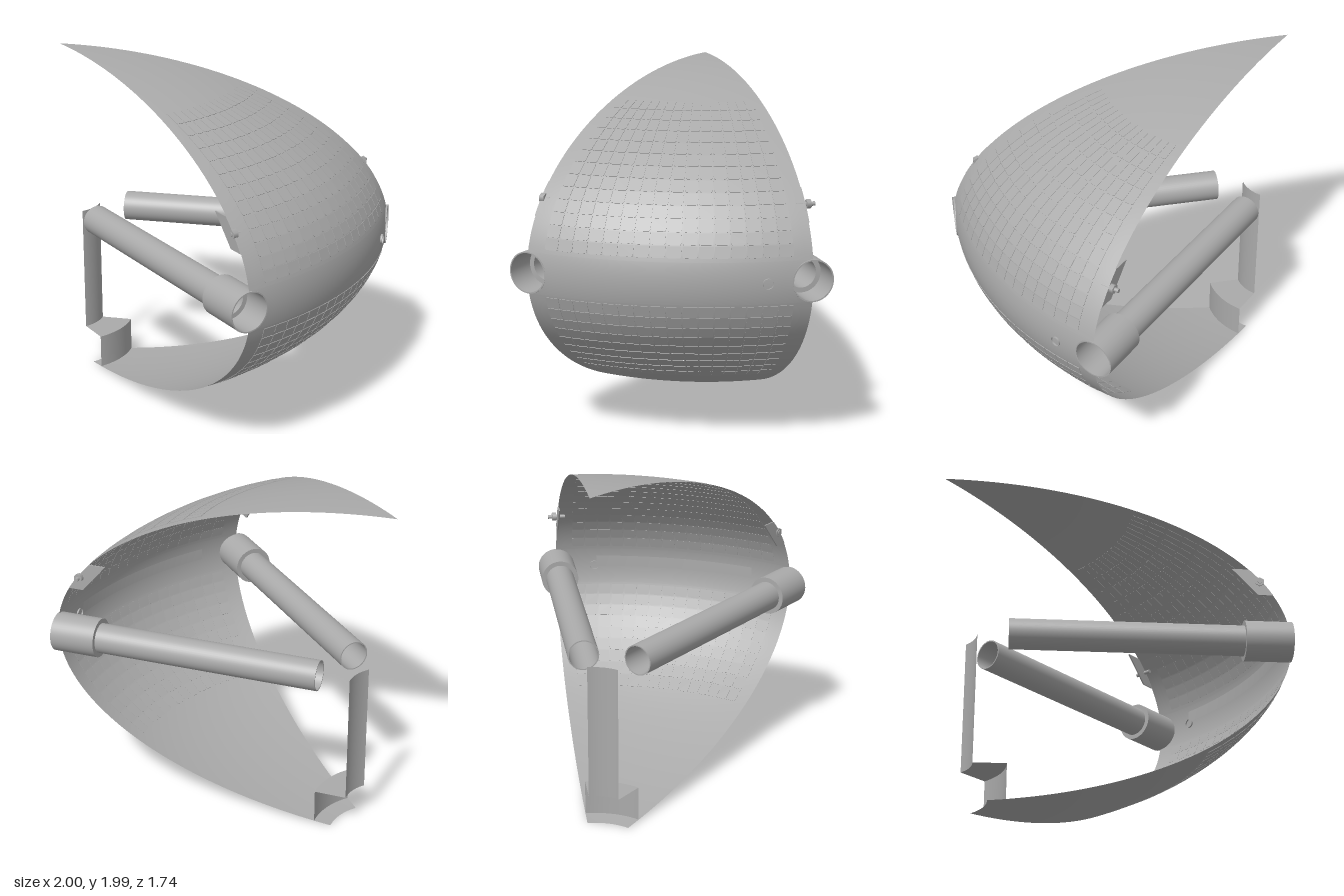
import * as THREE from 'three';
import { mergeGeometries, toCreasedNormals } from 'three/addons/utils/BufferGeometryUtils.js';

const RAD = Math.PI / 180;
const HALF = 22.5 * RAD;      // half angle of the wedge
const A = 2, B = 1, CY = 0.99; // ellipse radii and centre height
const SLEEVE = 0.115;

const grey = new THREE.MeshStandardMaterial({ color: 0xaaaaaa, side: THREE.DoubleSide });
grey.name = 'grey';

function addMesh(parent, name, geometry) {
  const mesh = new THREE.Mesh(geometry, grey);
  mesh.name = name;
  parent.add(mesh);
  return mesh;
}

// Point at latitude t and azimuth phi on the ellipsoid
function onShell(t, phi, scale = 1) {
  const r = A * Math.cos(t) * scale;
  return new THREE.Vector3(r * Math.cos(phi), CY + B * Math.sin(t) * scale, r * Math.sin(phi));
}

// Surface through rows of points
function loft(rows) {
  const n = rows[0].length, pos = [], idx = [];
  rows.forEach((row, i) => row.forEach((p, j) => {
    pos.push(p.x, p.y, p.z);
    if (i && j) {
      const d = i * n + j, c = d - 1, b = d - n, a = b - 1;
      idx.push(a, c, b, b, c, d);
    }
  }));
  const g = new THREE.BufferGeometry();
  g.setAttribute('position', new THREE.Float32BufferAttribute(pos, 3));
  g.setIndex(idx);
  g.computeVertexNormals();
  return g;
}

// Wedge of the ellipsoid, notched round where the tubes pass through
function shellGeometry() {
  const t0 = -Math.acos(0.155), tn = Math.asin(SLEEVE / B), ts = [];
  for (let i = 0; i < 44; i++) ts.push(t0 + (-tn - t0) * i / 44);
  for (let i = 0; i < 24; i++) ts.push(tn * Math.sin((i / 24 - 0.5) * Math.PI));
  for (let i = 0; i <= 48; i++) ts.push(tn + (Math.PI / 2 - tn) * i / 48);
  return loft(ts.map((t) => {
    const dy = B * Math.sin(t);
    const cut = Math.sqrt(Math.max(0, SLEEVE * SLEEVE - dy * dy));
    const edge = HALF - (cut ? Math.asin(cut / (A * Math.cos(t))) : 0);
    return Array.from({ length: 33 }, (_, j) => onShell(t, edge * (1 - j / 16)));
  }));
}

// Sheet swept round the vertical axis from a [radius, height] profile
function sweep(profile, half) {
  const rows = profile.map(([r, y]) => Array.from({ length: 17 }, (_, j) => {
    const phi = half * (1 - j / 8);
    return new THREE.Vector3(r * Math.cos(phi), y, r * Math.sin(phi));
  }));
  return toCreasedNormals(loft(rows), 0.6);
}

// Thin rounded tiles laid tangent to the shell
function tileGeometry() {
  const parts = [], cols = 16, span = 19.6 * RAD;
  const addRows = (from, to, count) => {
    for (let i = 0; i < count; i++) {
      const t = (from + (to - from) * i / (count - 1)) * RAD;
      const w = A * Math.cos(t) * (2 * span / cols) * 0.46;
      const h = 0.46 * (Math.abs(to - from) / (count - 1)) * RAD * Math.hypot(A * Math.sin(t), B * Math.cos(t));
      const c = Math.min(w, h) * 0.4;
      const s = new THREE.Shape();
      s.moveTo(-w, h);
      s.lineTo(-w, -h + c);
      s.quadraticCurveTo(-w, -h, -w + c, -h);
      s.lineTo(w - c, -h);
      s.quadraticCurveTo(w, -h, w, -h + c);
      s.lineTo(w, h);
      const tile = new THREE.ExtrudeGeometry(s, { depth: 0.004, bevelEnabled: false, curveSegments: 3 });
      for (let j = 0; j < cols; j++) {
        const phi = -span + (j + 0.5) * 2 * span / cols;
        const out = new THREE.Vector3(Math.cos(t) / A * Math.cos(phi), Math.sin(t) / B, Math.cos(t) / A * Math.sin(phi)).normalize();
        const side = new THREE.Vector3(Math.sin(phi), 0, -Math.cos(phi));
        const up = out.clone().cross(side);
        const m = new THREE.Matrix4().makeBasis(side, up, out);
        m.setPosition(onShell(t, phi).addScaledVector(out, -0.002));
        parts.push(tile.clone().applyMatrix4(m));
      }
    }
  };
  addRows(9.5, 54.5, 13);
  addRows(-9, -39, 9);
  return mergeGeometries(parts);
}

// Hollow tube stepping up to a wider sleeve, along local x
function tubeGeometry() {
  const profile = [
    [0.081, 0.4], [0.0875, 0.4], [0.0875, 1.727], [SLEEVE, 1.727],
    [SLEEVE, 1.997], [0.108, 1.997], [0.108, 1.82], [0.081, 1.82], [0.081, 0.4],
  ].map(([r, y]) => new THREE.Vector2(r, y));
  const g = toCreasedNormals(new THREE.LatheGeometry(profile, 48), 0.6);
  return g.rotateZ(-Math.PI / 2).translate(0, CY, 0);
}

// Slanted lug whose outer edge follows the shell
function lugGeometry() {
  const s = new THREE.Shape();
  s.moveTo(1.677, 1.45);
  s.lineTo(1.825, 1.285);
  for (let i = 0; i <= 6; i++) {
    const y = 1.285 + 0.165 * i / 6;
    s.lineTo(A * Math.sqrt(1 - (y - CY) ** 2), y);
  }
  const g = new THREE.ExtrudeGeometry(s, { depth: 0.008, bevelEnabled: false });
  return g.translate(0, 0, -0.004);
}

function cylinderZ(radius, from, to, sides) {
  return new THREE.CylinderGeometry(radius, radius, to - from, sides)
    .rotateX(Math.PI / 2).translate(1.835, 1.37, (from + to) / 2);
}

export function createModel() {
  const model = new THREE.Group();
  model.name = 'shellSegment';
  const axis = new THREE.Group();
  axis.name = 'wedge';
  axis.position.x = -1;
  model.add(axis);

  addMesh(axis, 'shell', shellGeometry());
  addMesh(axis, 'tiles', tileGeometry());

  // Stepped support at the inner end
  addMesh(axis, 'steppedSupport', sweep([[0.41, 0.012], [0.41, 0.215], [0.225, 0.215], [0.225, CY]], HALF));

  // Curved strip inside the equator
  addMesh(axis, 'innerStrip', sweep([[1.975, CY], [1.975, 1.06]], 15 * RAD));

  // Small port beside one tube
  const port = addMesh(axis, 'port', new THREE.CylinderGeometry(0.028, 0.028, 0.02, 24, 1, true).rotateZ(Math.PI / 2));
  port.position.copy(onShell(0, -15.4 * RAD));
  port.rotation.y = 15.4 * RAD;

  // Tubes, lugs and fasteners on both radial edges
  for (const s of [1, -1]) {
    const edge = new THREE.Group();
    edge.name = s > 0 ? 'leftEdge' : 'rightEdge';
    edge.rotation.y = -s * HALF;
    axis.add(edge);
    addMesh(edge, 'tube', tubeGeometry());
    addMesh(edge, 'lug', lugGeometry());
    if (s > 0) {
      addMesh(edge, 'nut', cylinderZ(0.028, -0.02, 0.01, 6));
      addMesh(edge, 'pin', cylinderZ(0.012, -0.045, 0.014, 16));
    } else {
      addMesh(edge, 'bolt', cylinderZ(0.012, -0.06, 0.045, 16));
      addMesh(edge, 'boltHead', cylinderZ(0.026, -0.035, -0.01, 6));
    }
  }
  return model;
}
